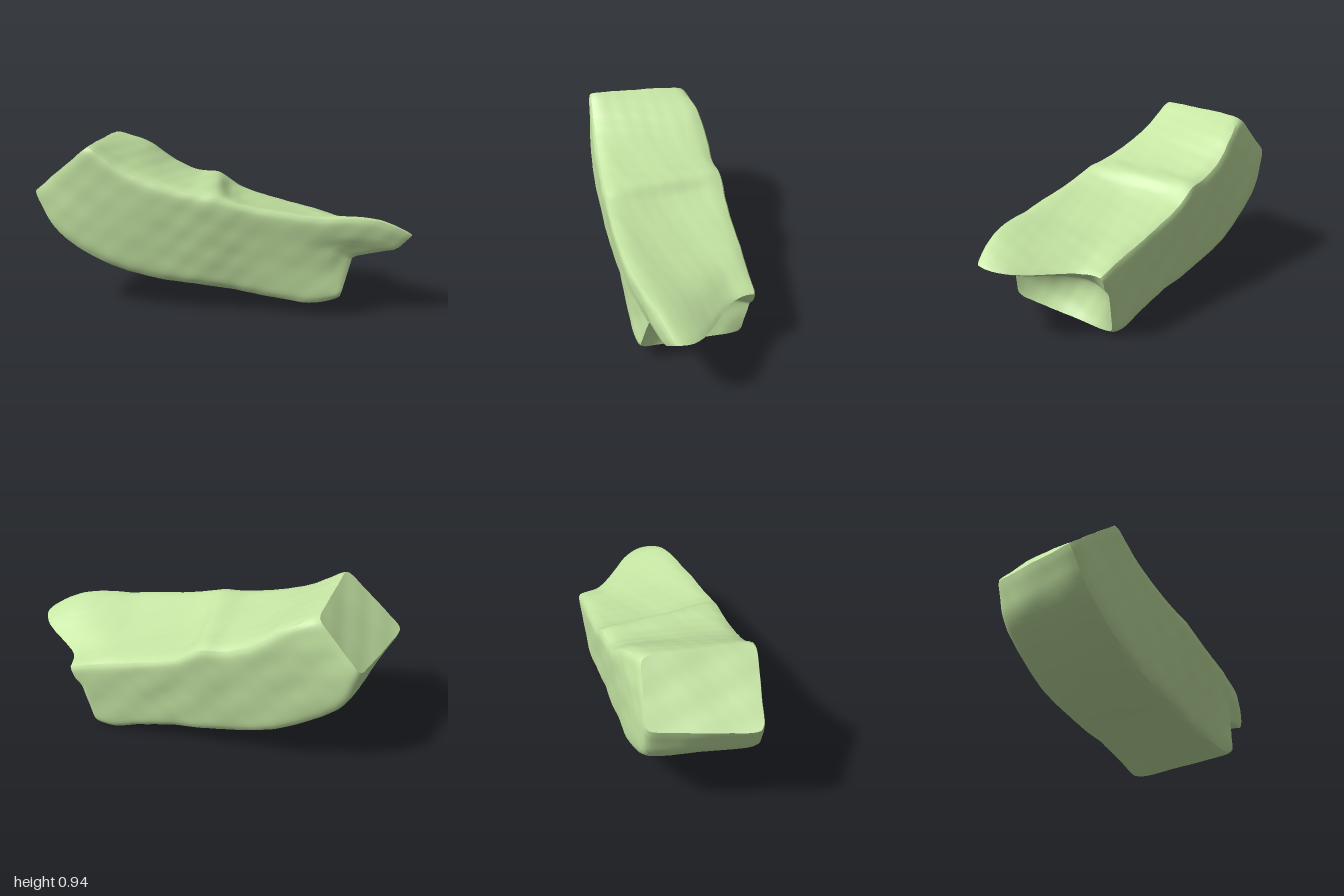
import * as THREE from 'three';
import { mergeVertices, toCreasedNormals } from 'three/addons/utils/BufferGeometryUtils.js';

const { smoothstep } = THREE.MathUtils;

// Four long edges of the block, each running from the sloped end to the hollow end
const edge = (pts) => new THREE.CatmullRomCurve3(pts.map((p) => new THREE.Vector3(...p)), false, 'centripetal');
const frontTop = edge([[-0.59, 0.95, 0.535], [-0.41, 0.83, 0.475], [-0.22, 0.755, 0.415], [-0.05, 0.715, 0.35], [0.08, 0.7, 0.305],
  [0.24, 0.655, 0.24], [0.58, 0.6, 0.075], [0.87, 0.58, -0.12], [1.03, 0.48, -0.26]]);
const backTop = edge([[-0.78, 0.945, -0.03], [-0.64, 0.88, -0.15], [-0.51, 0.77, -0.23], [-0.38, 0.705, -0.28], [-0.26, 0.69, -0.34],
  [-0.13, 0.605, -0.39], [0.12, 0.525, -0.49], [0.31, 0.47, -0.56], [0.48, 0.42, -0.63]]);
const backBottom = edge([[-1.03, 0.66, 0.03], [-0.955, 0.435, 0], [-0.69, 0.235, -0.11], [-0.42, 0.135, -0.21], [-0.2, 0.105, -0.31],
  [-0.06, 0.085, -0.36], [0.1, 0.055, -0.43], [0.27, -0.005, -0.5], [0.37, 0.02, -0.55]]);
const frontBottom = edge([[-0.945, 0.65, 0.615], [-0.81, 0.44, 0.595], [-0.56, 0.27, 0.51], [-0.28, 0.18, 0.39], [-0.02, 0.15, 0.28],
  [0.14, 0.125, 0.2], [0.38, 0.085, 0.11], [0.56, 0.075, 0.05], [0.7, 0.11, -0.01]]);

// How far the broken end is hollowed out at width w (front = 1) and height h (top = 1)
function hollow(w, h) {
  const inside = Math.sin(Math.PI * w);
  const underLedge = 0.3 * h * (1 - smoothstep(h, 0.64 - 0.08 * inside, 0.78 + 0.12 * inside)) * (0.1 + 0.9 * w);
  const bowl = 0.1 * inside * Math.sin(Math.PI * h);
  const rim = 0.055 * h * Math.sin(2 * Math.PI * w);
  return underLedge + bowl + rim;
}

// Soft irregular unevenness of the rock
const rough = (p, k) => Math.sin(p.x * 17 + p.y * 9 * k) * Math.sin(p.z * 19 - p.y * 13 + k)
  + 0.6 * Math.sin(p.x * 41 * k + p.z * 23) * Math.sin(p.y * 37 + p.z * 29 + k);

function blockGeometry() {
  let geo = new THREE.BoxGeometry(2, 2, 2, 80, 28, 24);
  geo.deleteAttribute('uv');
  geo.deleteAttribute('normal');
  geo = mergeVertices(geo);
  const pos = geo.attributes.position;
  const axis = new THREE.Vector3(0.89, 0, -0.46);
  const p = new THREE.Vector3();
  const bottom = new THREE.Vector3();
  for (let i = 0; i < pos.count; i++) {
    const a = pos.getX(i), b = pos.getY(i), c = pos.getZ(i);
    // Round the long edges and the rims of both ends
    const round = 0.055;
    const end = 0.025 * Math.abs(a) ** 50;
    const w = (c * (1 - round * b ** 12 - end) + 1) / 2;
    const h = (b * (1 - round * c ** 12 - end) + 1) / 2;
    const t = (a + 1) / 2;
    // Blend between the four edges
    p.lerpVectors(backTop.getPoint(t), frontTop.getPoint(t), w);
    bottom.lerpVectors(backBottom.getPoint(t), frontBottom.getPoint(t), w);
    p.lerpVectors(bottom, p.clone(), h);
    // Shallow sag of the upper face beyond the ridge
    p.y -= 0.03 * Math.sin(Math.PI * w) * smoothstep(h, 0.7, 1) * smoothstep(t, 0.5, 0.57);
    // Hollow end beneath the projecting ledge
    p.addScaledVector(axis, -hollow(w, h) * smoothstep(t, 0.7, 1));
    const q = p.clone();
    p.x += 0.002 * rough(q, 1);
    p.y += 0.002 * rough(q, 1.3);
    p.z += 0.002 * rough(q, 0.8);
    pos.setXYZ(i, p.x, p.y, p.z);
  }
  // Centre the block and stand it on the ground
  geo.computeBoundingBox();
  const mid = geo.boundingBox.getCenter(new THREE.Vector3());
  geo.translate(-mid.x, -geo.boundingBox.min.y, -mid.z);
  return toCreasedNormals(geo, 0.6);
}

export function createModel() {
  const group = new THREE.Group();
  group.name = 'rockFragment';
  const block = new THREE.Mesh(blockGeometry(), new THREE.MeshStandardMaterial({ color: 0xc6e6a4 }));
  block.name = 'curvedStoneBlock';
  group.add(block);
  return group;
}
